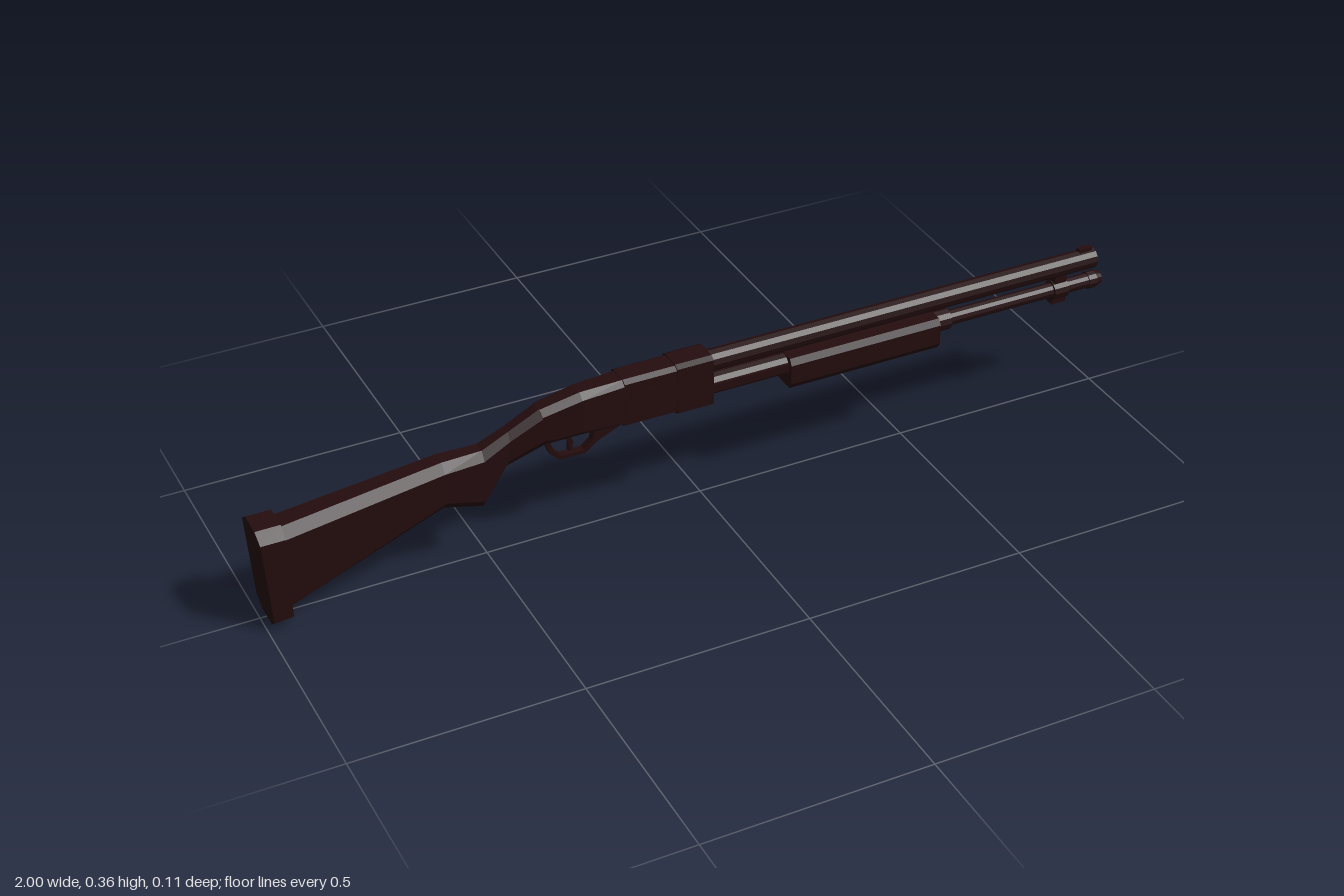
import * as THREE from 'three';

const darkWalnut = new THREE.MeshStandardMaterial({ color: 0x240c0e, flatShading: true, side: THREE.DoubleSide });
darkWalnut.name = 'dark walnut';

function addMesh(group, name, geometry) {
  const mesh = new THREE.Mesh(geometry, darkWalnut);
  mesh.name = name;
  group.add(mesh);
  return mesh;
}

// Skin over chamfered cross-sections: [xTop, yTop, xBottom, yBottom, halfWidth, chamferHeight, flatRatio]
function loft(sections) {
  const rings = sections.map(([xt, yt, xb, yb, w, ch, f]) => {
    const c = w * f;
    return [[yt, -c], [yt, c], [yt - ch, w], [yb + ch, w], [yb, c], [yb, -c], [yb + ch, -w], [yt - ch, -w]]
      .map(([y, z]) => [xb + (xt - xb) * (y - yb) / (yt - yb), y, z]);
  });
  const pos = [];
  const tri = (a, b, c) => pos.push(...a, ...b, ...c);
  for (let i = 0; i < rings.length - 1; i++) {
    const a = rings[i], b = rings[i + 1];
    for (let j = 0; j < 8; j++) {
      const k = (j + 1) % 8;
      tri(a[j], a[k], b[j]);
      tri(a[k], b[k], b[j]);
    }
  }
  const first = rings[0], last = rings[rings.length - 1];
  for (let j = 1; j < 7; j++) {
    tri(first[0], first[j + 1], first[j]);
    tri(last[0], last[j], last[j + 1]);
  }
  const g = new THREE.BufferGeometry();
  g.setAttribute('position', new THREE.Float32BufferAttribute(pos, 3));
  g.computeVertexNormals();
  return g;
}

// Turned part along x from [radius, x] pairs
function turned(profile, y, sides = 12) {
  const g = new THREE.LatheGeometry(profile.map(([r, x]) => new THREE.Vector2(r, x)), sides);
  return g.rotateZ(-Math.PI / 2).translate(0, y, 0);
}

function box(x0, x1, y0, y1, z0, z1) {
  return new THREE.BoxGeometry(x1 - x0, y1 - y0, z1 - z0)
    .translate((x0 + x1) / 2, (y0 + y1) / 2, (z0 + z1) / 2);
}

// Side-view outline given thickness across z
function plate(outline, width, hole) {
  const toVectors = pts => pts.map(([x, y]) => new THREE.Vector2(x, y));
  const shape = new THREE.Shape(toVectors(outline));
  if (hole) shape.holes.push(new THREE.Path(toVectors(hole)));
  return new THREE.ExtrudeGeometry(shape, { depth: width, bevelEnabled: false }).translate(0, 0, -width / 2);
}

export function createModel() {
  const model = new THREE.Group();
  model.name = 'pumpActionGun';

  // Shoulder stock and grip
  addMesh(model, 'buttPad', loft([
    [-1, 0.236, -0.985, 0, 0.056, 0.02, 0.52],
    [-0.945, 0.236, -0.945, 0.004, 0.056, 0.02, 0.52],
  ]));
  addMesh(model, 'stock', loft([
    [-0.96, 0.225, -0.955, 0.02, 0.046, 0.02, 0.5],
    [-0.595, 0.27, -0.595, 0.158, 0.034, 0.02, 0.5],
    [-0.505, 0.27, -0.508, 0.132, 0.028, 0.02, 0.5],
    [-0.445, 0.297, -0.45, 0.215, 0.024, 0.018, 0.5],
    [-0.375, 0.332, -0.36, 0.243, 0.026, 0.018, 0.5],
  ]));

  // Receiver with its tail, body and front collar
  addMesh(model, 'receiverTail', loft([
    [-0.375, 0.332, -0.36, 0.243, 0.027, 0.014, 0.55],
    [-0.285, 0.35, -0.285, 0.245, 0.031, 0.014, 0.55],
    [-0.185, 0.354, -0.185, 0.243, 0.033, 0.01, 0.6],
  ]));
  addMesh(model, 'receiver', loft([
    [-0.19, 0.356, -0.19, 0.242, 0.034, 0.007, 0.65],
    [-0.07, 0.356, -0.07, 0.242, 0.034, 0.007, 0.65],
  ]));
  addMesh(model, 'receiverCollar', loft([
    [-0.07, 0.359, -0.07, 0.238, 0.036, 0.006, 0.65],
    [0.015, 0.359, 0.015, 0.238, 0.036, 0.006, 0.65],
  ]));
  addMesh(model, 'ejectionCover', box(-0.175, -0.075, 0.29, 0.325, 0.03, 0.0355));
  addMesh(model, 'loadingGate', box(-0.17, -0.04, 0.236, 0.244, -0.014, 0.014));

  // Trigger and its guard
  addMesh(model, 'triggerGuard', plate(
    [[-0.365, 0.247], [-0.352, 0.21], [-0.33, 0.19], [-0.27, 0.19], [-0.247, 0.21], [-0.19, 0.235], [-0.19, 0.247]],
    0.018,
    [[-0.352, 0.242], [-0.342, 0.214], [-0.325, 0.198], [-0.275, 0.198], [-0.256, 0.215], [-0.25, 0.242]],
  ));
  addMesh(model, 'trigger', plate(
    [[-0.322, 0.248], [-0.308, 0.222], [-0.309, 0.203], [-0.3, 0.205], [-0.298, 0.225], [-0.306, 0.248]], 0.01));

  // Barrel with an open bore and a front sight
  addMesh(model, 'barrel', turned(
    [[0.024, 0], [0.024, 0.978], [0.017, 0.978], [0.017, 0.9], [0, 0.9]], 0.331));
  addMesh(model, 'frontSight', box(0.938, 0.97, 0.348, 0.362, -0.007, 0.007));

  // Magazine tube with its sleeve and end cap
  addMesh(model, 'magazineTube', turned(
    [[0.024, 0], [0.024, 0.21], [0.017, 0.21], [0.017, 0.965], [0.02, 0.965], [0.02, 0.985],
      [0.015, 1], [0, 1]], 0.273));

  // Sliding fore-end
  addMesh(model, 'foreEnd', loft([
    [0.2, 0.298, 0.2, 0.224, 0.036, 0.014, 0.75],
    [0.568, 0.298, 0.568, 0.224, 0.036, 0.014, 0.75],
  ]));
  addMesh(model, 'foreEndNut', turned([[0, 0.56], [0.024, 0.56], [0.024, 0.605], [0, 0.605]], 0.273));
  for (const s of [-1, 1]) {
    const z = s * 0.024;
    addMesh(model, 'actionBar', box(0.01, 0.21, 0.266, 0.284, z - 0.003, z + 0.003));
  }

  // Clamp joining barrel and magazine
  addMesh(model, 'clampRing', turned([[0, 0.872], [0.023, 0.872], [0.023, 0.908], [0, 0.908]], 0.273));
  addMesh(model, 'clampBridge', box(0.875, 0.905, 0.285, 0.318, -0.012, 0.012));
  addMesh(model, 'clampLug', box(0.872, 0.908, 0.24, 0.262, -0.01, 0.01));

  return model;
}
